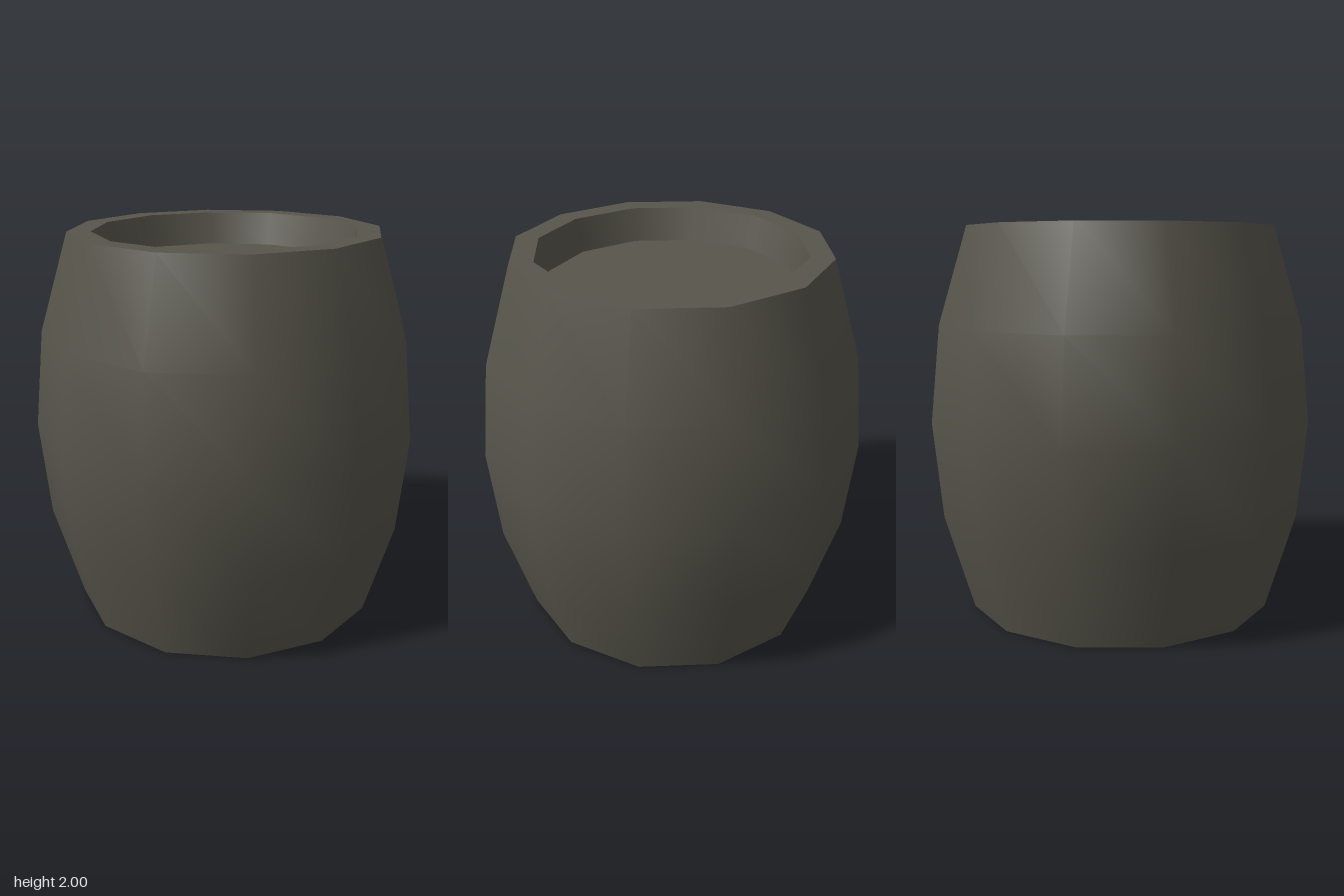
import * as THREE from 'three';

const SIDES = 12;

export function createModel() {
  const model = new THREE.Group();
  model.name = 'barrel';

  const darkWood = new THREE.MeshStandardMaterial({ color: 0x57554b, side: THREE.DoubleSide });
  darkWood.name = 'darkWood';

  const add = (name, geometry) => {
    const mesh = new THREE.Mesh(geometry, darkWood);
    mesh.name = name;
    model.add(mesh);
    return mesh;
  };
  const ring = (name, profile) =>
    add(name, new THREE.LatheGeometry(profile.map(([r, y]) => new THREE.Vector2(r, y)), SIDES));

  // Bulging single-skin wall, open at the bottom
  ring('wall', [[0.8, 0], [0.95, 0.5], [1, 1], [0.95, 1.5], [0.8, 2]]);

  // Flat top rim and the tapered wall of the recess inside it
  ring('rim', [[0.8, 2], [0.68, 2]]);
  ring('recessWall', [[0.68, 2], [0.635, 1.83]]);

  // Sunken lid
  const lid = add('lid', new THREE.CircleGeometry(0.635, SIDES).rotateX(-Math.PI / 2));
  lid.position.y = 1.83;

  return model;
}
